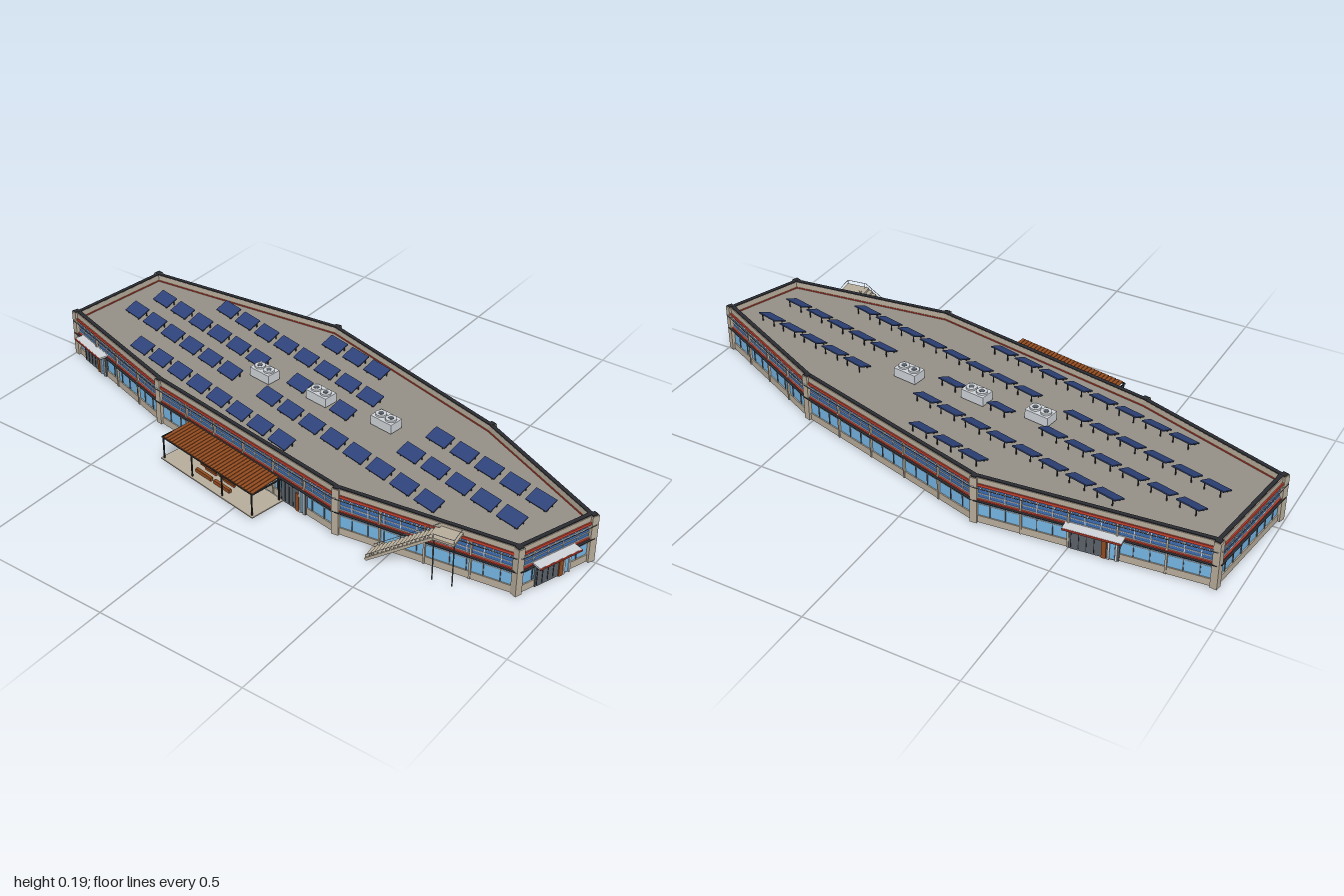
import * as THREE from 'three';

const mat = (name, color) => {
  const m = new THREE.MeshStandardMaterial({ color });
  m.name = name;
  return m;
};
const M = {
  wall: mat('beige concrete', 0xb8ad9b),
  roof: mat('roof grey', 0x969087),
  lowGlass: mat('light glass', 0x76b6e4),
  upGlass: mat('deep blue glass', 0x3b6cb0),
  red: mat('red trim', 0xc4402e),
  dark: mat('dark metal', 0x2a2c31),
  panel: mat('solar blue', 0x2e437a),
  light: mat('light metal', 0xd0d5da),
  wood: mat('brown wood', 0x934c20),
  grey: mat('slate grey', 0x5a6169),
};

// Building outline as [x, z], running left to right along the front
const P = [[-0.984, 0.036], [-0.473, 0.195], [0.322, 0.333], [0.888, 0.26],
  [0.98, 0.003], [0.514, -0.217], [-0.207, -0.413], [-0.938, -0.338]];

const add = (parent, name, geo, m, x = 0, y = 0, z = 0) => {
  const mesh = new THREE.Mesh(geo, m);
  mesh.name = name;
  mesh.position.set(x, y, z);
  parent.add(mesh);
  return mesh;
};
// Box given by its centre in x and z and by its bottom and top in y
const box = (parent, name, m, w, y0, y1, d, x = 0, z = 0) =>
  add(parent, name, new THREE.BoxGeometry(w, y1 - y0, d), m, x, (y0 + y1) / 2, z);
const group = (parent, name, x = 0, z = 0, turn = 0) => {
  const g = new THREE.Group();
  g.name = name;
  g.position.set(x, 0, z);
  g.rotation.y = turn;
  parent.add(g);
  return g;
};

function slab(parent, name, m, y0, y1) {
  const shape = new THREE.Shape(P.map(([x, z]) => new THREE.Vector2(x, -z)));
  const geo = new THREE.ExtrudeGeometry(shape, { depth: y1 - y0, bevelEnabled: false });
  geo.rotateX(-Math.PI / 2);
  add(parent, name, geo, m, 0, y0, 0);
}

// One facade: local x runs along the wall, local +z points outward
function wall(parent, L) {
  box(parent, 'plinth', M.wall, L, 0, 0.025, 0.014, 0, -0.005);
  box(parent, 'lowerGlazing', M.lowGlass, L, 0.025, 0.083, 0.006, 0, -0.005);
  box(parent, 'floorBand', M.red, L, 0.083, 0.088, 0.016, 0, -0.003);
  box(parent, 'upperGlazing', M.upGlass, L, 0.088, 0.136, 0.006, 0, -0.005);
  box(parent, 'redBand', M.red, L, 0.135, 0.144, 0.022, 0, -0.005);
  box(parent, 'parapet', M.wall, L, 0.144, 0.163, 0.016, 0, -0.006);
  box(parent, 'parapetCap', M.dark, L, 0.163, 0.166, 0.013, 0, -0.007);
  for (const y of [0.089, 0.104, 0.12])
    box(parent, 'upperTransom', M.light, L, y, y + 0.0025, 0.003, 0, -0.001);
  box(parent, 'lowerTransom', M.light, L, 0.066, 0.0675, 0.003, 0, -0.001);

  // Window divisions
  const n = Math.round(L / 0.05);
  for (let i = 1; i < n; i++) {
    const x = -L / 2 + (L * i) / n;
    box(parent, 'upperMullion', M.light, 0.003, 0.088, 0.135, 0.003, x, -0.001);
    box(parent, 'lowerMullion', M.grey, 0.003, 0.025, 0.083, 0.003, x, -0.001);
  }
  // Slender pilasters on the long facades
  const bays = L > 0.4 ? Math.round(L / 0.14) : 1;
  for (let i = 1; i < bays; i++)
    box(parent, 'pilaster', M.wall, 0.006, 0, 0.135, 0.01, -L / 2 + (L * i) / bays, 0);

  // Slim sunshades: a flat ledge below, and spaced brackets with a rail above
  box(parent, 'lowerShade', M.dark, L, 0.0825, 0.084, 0.014, 0, 0.006);
  box(parent, 'upperShade', M.grey, L, 0.1325, 0.134, 0.002, 0, 0.014);
  const k = Math.round(L / 0.025);
  for (let i = 0; i <= k; i++)
    box(parent, 'shadeBracket', M.light, 0.004, 0.1325, 0.1345, 0.014, -L / 2 + (L * i) / k, 0.007);
}

// Entrance set on a facade, with an optional canopy
function entrance(parent, x, w, canopy) {
  const g = group(parent, 'entrance', x, 0);
  box(g, 'entranceScreen', M.grey, w * 0.85, 0, 0.082, 0.008, 0, 0.002);
  for (const s of [-0.39, -0.26, -0.13, 0])
    box(g, 'screenBar', M.dark, 0.002, 0.006, 0.08, 0.003, s * w, 0.006);
  box(g, 'openDoor', M.wood, 0.014, 0, 0.064, 0.004, w * 0.17, 0.008);
  box(g, 'sidelight', M.lowGlass, 0.014, 0.005, 0.08, 0.002, w * 0.31, 0.006);
  for (const s of [0.25, 0.38]) box(g, 'entrancePost', M.light, 0.006, 0, 0.083, 0.006, s * w, 0.007);
  if (!canopy) return;
  box(g, 'canopyFrame', M.dark, w, 0.083, 0.0855, 0.036, 0, 0.017);
  box(g, 'canopy', M.light, w, 0.0855, 0.09, 0.034, 0, 0.016);
  box(g, 'canopyTrim', M.red, w, 0.0855, 0.0895, 0.003, 0, 0.0345);
}

// Two-fan rooftop air unit
function airUnit(parent, x) {
  const g = group(parent, 'airUnit', x, -0.04, -0.13);
  box(g, 'unitFeet', M.dark, 0.07, 0.138, 0.145, 0.04);
  box(g, 'unitBody', M.light, 0.084, 0.144, 0.176, 0.05);
  for (const s of [-1, 1]) {
    add(g, 'fanRing', new THREE.CylinderGeometry(0.018, 0.018, 0.006, 16), M.light, s * 0.02, 0.179, 0);
    add(g, 'fan', new THREE.CylinderGeometry(0.009, 0.009, 0.001, 12), M.grey, s * 0.02, 0.1825, 0);
  }
}

// Tilted panel on a frame, facing the front
function solarPanel(parent, x, z) {
  const g = group(parent, 'solarPanel', x, z, -0.228);
  const deck = group(g, 'panelDeck');
  deck.position.y = 0.158;
  deck.rotation.x = 0.4;
  box(deck, 'panelFace', M.panel, 0.08, 0, 0.002, 0.049);
  box(deck, 'panelFrame', M.dark, 0.08, -0.002, 0, 0.049);
  for (const s of [-1, 1]) {
    box(g, 'backLeg', M.dark, 0.003, 0.138, 0.163, 0.003, s * 0.028, -0.017);
    box(g, 'frontLeg', M.dark, 0.003, 0.138, 0.15, 0.003, s * 0.028, 0.017);
  }
}

// Timber shade terrace beside the front wall
function terrace(parent) {
  const g = group(parent, 'terrace', -0.118, 0.327, -0.174);
  box(g, 'terraceFloor', M.wall, 0.428, 0, 0.004, 0.125);
  for (let i = 0; i < 30; i++) {
    const slat = box(g, 'roofSlat', M.wood, 0.0118, 0.084, 0.087, 0.114, -0.2 + (i * 0.4) / 29, 0);
    slat.rotation.y = 0.08;
  }
  for (const s of [-1, 1]) {
    box(g, 'longBeam', M.dark, 0.42, 0.08, 0.085, 0.003, 0, s * 0.056);
    box(g, 'endBeam', M.dark, 0.003, 0.08, 0.085, 0.114, s * 0.209, 0);
    for (const x of [-0.205, -0.07, 0.07, 0.205]) box(g, 'post', M.dark, 0.004, 0, 0.082, 0.004, x, s * 0.055);
  }
  for (const x of [-0.045, 0.04]) {
    box(g, 'table', M.wood, 0.072, 0.022, 0.027, 0.026, x, 0);
    box(g, 'tableLeg', M.wood, 0.05, 0.004, 0.022, 0.006, x, 0);
    for (const s of [-1, 1]) box(g, 'bench', M.wood, 0.072, 0.004, 0.016, 0.01, x, s * 0.028);
  }
}

// Outside stair from the ground to the roof
function stair(parent) {
  const g = group(parent, 'stair', 0.591, 0.336, 0.138);
  const n = 16, run = 0.205, rise = 0.152;
  for (let i = 0; i < n; i++) {
    const y = ((i + 1) * rise) / n;
    box(g, 'tread', M.wall, run / n + 0.001, y - 0.009, y, 0.052, -0.137 + ((i + 0.5) * run) / n, 0);
  }
  box(g, 'landing', M.wall, 0.068, 0.146, 0.153, 0.07, 0.102, -0.009);
  const len = Math.hypot(run, rise), tilt = Math.atan2(rise, run);
  for (const s of [-1, 1]) {
    const stringer = add(g, 'stringer', new THREE.BoxGeometry(len, 0.009, 0.002), M.wall, -0.034, 0.074, s * 0.027);
    const rail = add(g, 'handrail', new THREE.BoxGeometry(len, 0.0015, 0.0015), M.light, -0.034, 0.091, s * 0.027);
    stringer.rotation.z = rail.rotation.z = tilt;
    for (const t of [0.1, 0.5, 0.9])
      box(g, 'baluster', M.light, 0.0015, t * rise, t * rise + 0.015, 0.0015, -0.137 + t * run, s * 0.027);
    box(g, 'landingPost', M.grey, 0.003, 0, 0.148, 0.003, 0.102 + s * 0.031, 0.02);
    box(g, 'railPost', M.light, 0.0015, 0.152, 0.167, 0.0015, 0.102 + s * 0.032, 0.025);
  }
  box(g, 'landingRail', M.light, 0.066, 0.1655, 0.167, 0.0015, 0.102, 0.025);
  box(g, 'endRail', M.light, 0.0015, 0.1655, 0.167, 0.054, 0.134, -0.001);
}

export function createModel() {
  const model = new THREE.Group();
  model.name = 'building';
  slab(model, 'groundSlab', M.wall, 0, 0.004);
  slab(model, 'roofSlab', M.roof, 0.134, 0.14);

  // Facades and corner columns; entrances listed by wall as [position, width, canopy]
  const doors = { 0: [0.23, 0.165, true], 1: [0.78, 0.13, false], 3: [0.47, 0.155, true], 6: [0.51, 0.18, true] };
  P.forEach(([x0, z0], i) => {
    const [x1, z1] = P[(i + 1) % P.length];
    const L = Math.hypot(x1 - x0, z1 - z0);
    const turn = -Math.atan2(z1 - z0, x1 - x0);
    const g = group(model, 'facade', (x0 + x1) / 2, (z0 + z1) / 2, turn);
    wall(g, L);
    if (doors[i]) entrance(g, (doors[i][0] - 0.5) * L, doors[i][1], doors[i][2]);
    const column = group(model, 'cornerColumn', x0, z0, turn);
    box(column, 'columnShaft', M.wall, 0.023, 0, 0.164, 0.023, 0, -0.002);
    box(column, 'columnCap', M.dark, 0.018, 0.164, 0.1665, 0.018, 0, -0.003);
  });

  // Solar rows: first x, first z, panel count
  const rows = [[-0.15, -0.318, 3], [-0.578, -0.291, 8], [-0.802, -0.217, 6], [-0.829, -0.104, 6],
    [0.422, -0.067, 5], [0.395, 0.051, 5], [-0.134, 0.056, 8], [-0.658, 0.062, 8]];
  for (const [x, z, n] of rows)
    for (let i = 0; i < n; i++) solarPanel(model, x + i * 0.1, z + i * 0.0232);
  solarPanel(model, -0.102, -0.061);
  solarPanel(model, 0.098, -0.016);

  for (const x of [-0.228, -0.004, 0.242]) airUnit(model, x);
  terrace(model);
  stair(model);
  return model;
}
